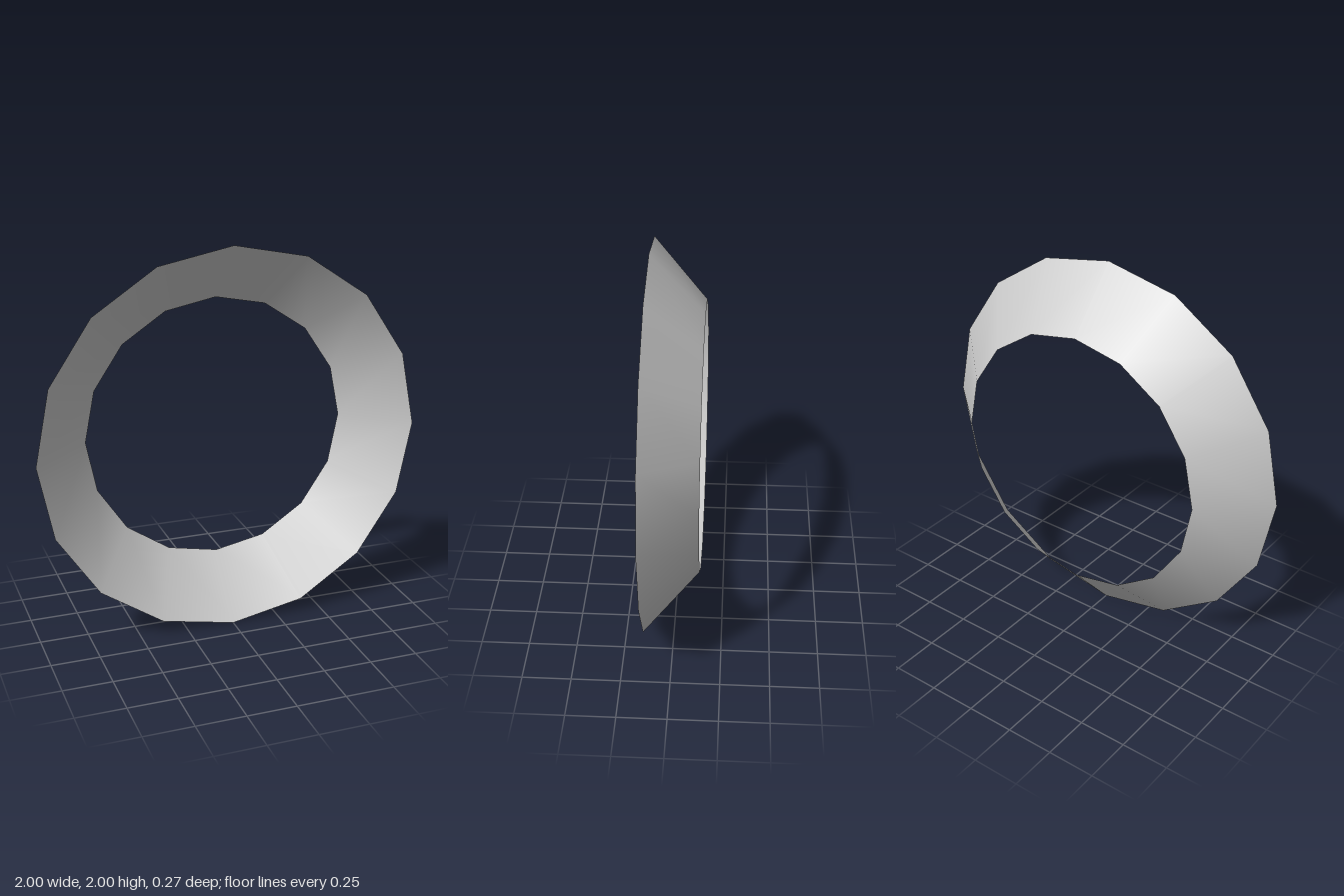
import * as THREE from 'three';

export function createModel() {
  const group = new THREE.Group();
  const material = new THREE.MeshStandardMaterial({ color: 0xcccccc, side: THREE.DoubleSide });

  // Open, thin 16-sided conical band, wide rim facing the front
  const geometry = new THREE.CylinderGeometry(1, 0.694, 0.27, 16, 1, true);
  geometry.rotateX(Math.PI / 2);
  const ring = new THREE.Mesh(geometry, material);
  ring.name = 'conicalRing';
  ring.position.y = 1;
  group.add(ring);

  return group;
}
